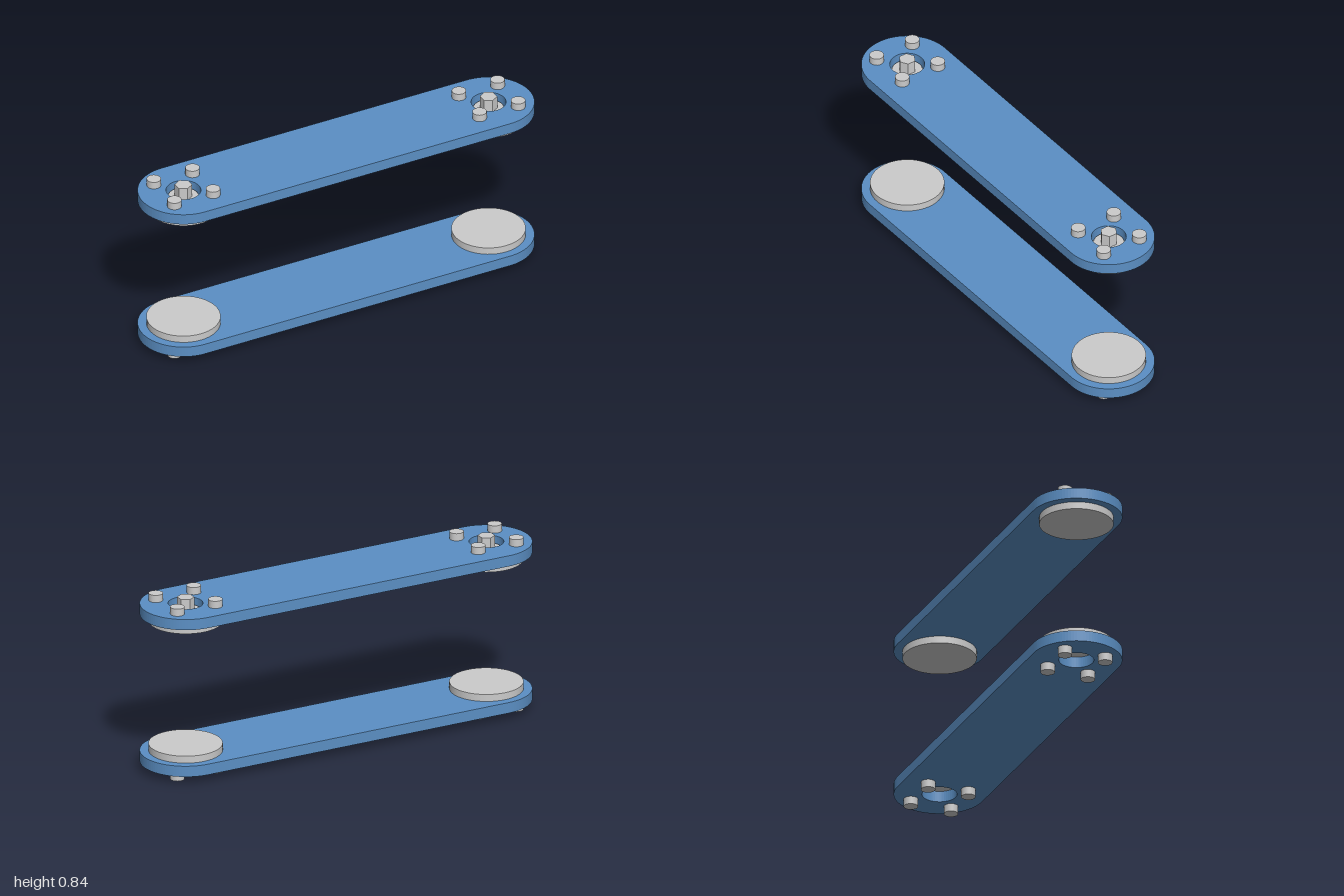
import * as THREE from 'three';

const END_X = 0.79;      // centre of each rounded end
const END_R = 0.21;
const HOLE_R = 0.08;
const PLATE_T = 0.052;

const grey = new THREE.MeshStandardMaterial({ color: 0xcccccc });
const blue = new THREE.MeshStandardMaterial({ color: 0x5b8fc4 });

// Upright cylinder between two heights
function disc(name, radius, y0, y1, x, z, sides = 32) {
  const mesh = new THREE.Mesh(new THREE.CylinderGeometry(radius, radius, y1 - y0, sides), grey);
  mesh.name = name;
  mesh.position.set(x, (y0 + y1) / 2, z);
  return mesh;
}

// Stadium-shaped link plate with a round hole at each end
function plate(name, y0) {
  const shape = new THREE.Shape();
  shape.moveTo(-END_X, -END_R);
  shape.lineTo(END_X, -END_R);
  shape.absarc(END_X, 0, END_R, -Math.PI / 2, Math.PI / 2, false);
  shape.lineTo(-END_X, END_R);
  shape.absarc(-END_X, 0, END_R, Math.PI / 2, Math.PI * 1.5, false);
  for (const s of [-1, 1]) {
    const hole = new THREE.Path();
    hole.absarc(s * END_X, 0, HOLE_R, 0, Math.PI * 2, true);
    shape.holes.push(hole);
  }
  const geo = new THREE.ExtrudeGeometry(shape, { depth: PLATE_T, bevelEnabled: false, curveSegments: 24 });
  geo.rotateX(-Math.PI / 2);
  const mesh = new THREE.Mesh(geo, blue);
  mesh.name = name;
  mesh.position.y = y0;
  return mesh;
}

// Four pins in a square around an end
function pins(name, x, y0, y1) {
  const group = new THREE.Group();
  group.name = name;
  for (const dx of [-0.1, 0.1])
    for (const dz of [-0.1, 0.1]) group.add(disc('pin', 0.033, y0, y1, x + dx, dz, 24));
  return group;
}

export function createModel() {
  const model = new THREE.Group();
  model.name = 'linkPlates';
  model.add(plate('lowerPlate', 0.037), plate('upperPlate', 0.756));

  for (const s of [-1, 1]) {
    const side = s > 0 ? 'Left' : 'Right';
    const x = s * END_X;
    // Round pads on the facing sides of the plates
    model.add(disc('lowerPad' + side, 0.17, 0.089, 0.123, x, 0, 48));
    model.add(disc('upperPad' + side, 0.17, 0.722, 0.756, x, 0, 48));
    // Pins on the outer sides
    model.add(pins('lowerPins' + side, x, 0, 0.037));
    model.add(pins('upperPins' + side, x, 0.808, 0.843));
    // Flanged hexagonal bolt sitting in the upper hole
    model.add(disc('boltFlange' + side, 0.07, 0.756, 0.776, x, 0));
    const hex = disc('boltHex' + side, 0.04, 0.776, 0.838, x, 0, 6);
    hex.geometry = hex.geometry.toNonIndexed();
    hex.geometry.computeVertexNormals();
    model.add(hex);
  }
  return model;
}
